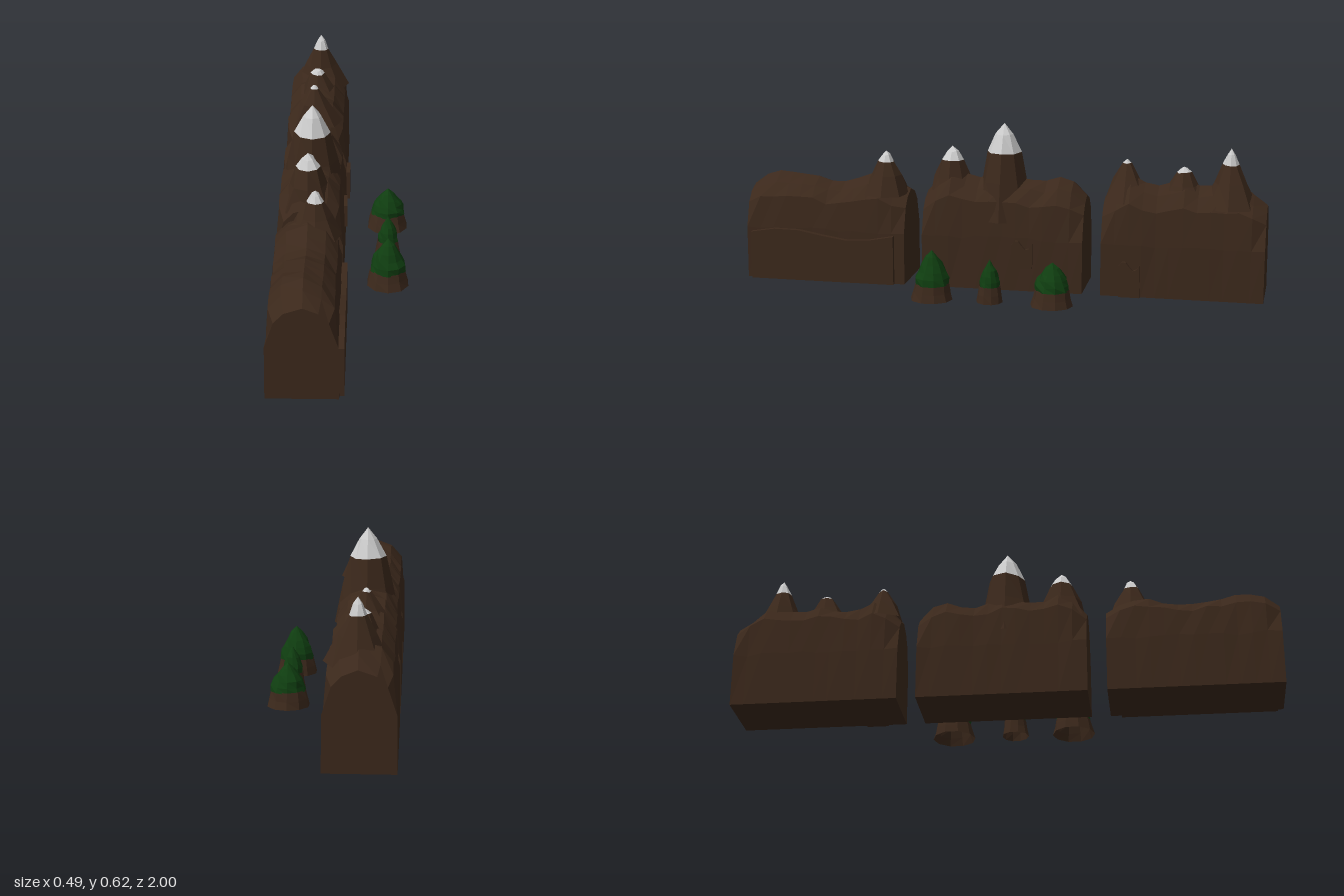
import * as THREE from 'three';

const { lerp, clamp } = THREE.MathUtils;
const material = (color) => new THREE.MeshStandardMaterial({ color, flatShading: true, side: THREE.DoubleSide });
const rock = material(0x3b281b);
const leaf = material(0x0f3d10);
const snow = material(0xcccccc);

// Repeatable value in -1..1 for a point, equal for coincident points
function noise(x, y, z) {
  const k = [x, y, z].map((v) => Math.round(v * 1000));
  const s = Math.sin(k[0] * 12.99 + k[1] * 78.23 + k[2] * 37.72) * 43758.55;
  return (s - Math.floor(s)) * 2 - 1;
}

function addMesh(parent, name, geometry, mat) {
  const mesh = new THREE.Mesh(geometry, mat);
  mesh.name = name;
  parent.add(mesh);
}

// Half of a ridge cross-section mirrored into a full ring, base to base
function ridgeRing(z, h, isEnd) {
  const w = isEnd ? 0.82 : 1;
  const rise = h - 0.2;
  const half = [[0.125, 0], [0.123, 0.2], [0.112 * w, 0.2 + rise * 0.62], [0.07 * w, 0.2 + rise * 0.86]];
  const side = (s) => half.map(([x, y], i) => {
    const j = i && !isEnd ? noise(s * x, y, z) * 0.008 : 0;
    return [-0.125 + s * (x - Math.abs(j) * 0.6), y + j, z];
  });
  return [...side(1), [-0.12, h, z], ...side(-1).reverse()];
}

// Closed rock wall from z = front to z = back; bumps raise the crest
function ridgeGeometry(front, back, crest, bumps) {
  const steps = 12;
  const rings = [];
  for (let i = 0; i <= steps; i++) {
    const z = lerp(front, back, i / steps);
    const edge = Math.min(i, steps - i);
    let h = lerp(0.35, crest, Math.min(1, edge / 1.5)) + (edge ? noise(1, crest, z) * 0.008 : 0);
    for (const b of bumps) h += b.rise * Math.max(0, 1 - Math.abs(z - b.z) / 0.1);
    rings.push(ridgeRing(z, h, edge === 0));
  }
  const n = rings[0].length;
  const out = [];
  const tri = (a, b, c) => out.push(...a, ...b, ...c);
  for (let i = 0; i < steps; i++) {
    for (let j = 0; j < n; j++) {
      const k = (j + 1) % n;
      tri(rings[i][j], rings[i + 1][j], rings[i + 1][k]);
      tri(rings[i][j], rings[i + 1][k], rings[i][k]);
    }
  }
  for (let j = 1; j < n - 1; j++) {
    tri(rings[0][0], rings[0][j], rings[0][j + 1]);
    tri(rings[steps][0], rings[steps][j + 1], rings[steps][j]);
  }
  const g = new THREE.BufferGeometry();
  g.setAttribute('position', new THREE.Float32BufferAttribute(out, 3));
  g.computeVertexNormals();
  return g;
}

// Faceted turned shape with slightly uneven vertices
function roughLathe(profile, sides, amount) {
  const g = new THREE.LatheGeometry(profile.map(([r, y]) => new THREE.Vector2(r, y)), sides);
  const p = g.attributes.position;
  for (let i = 0; i < p.count; i++) {
    const x = p.getX(i), y = p.getY(i), z = p.getZ(i);
    if (Math.hypot(x, z) < 0.001) continue;
    const j = noise(x, y, z) * amount;
    p.setXYZ(i, x * (1 + j), y + (y > 0.01 ? j * 0.04 : 0), z * (1 + j));
  }
  return g;
}

// Rock cone with a steeper snow cap, kept inside the ends of its ridge
function addPeak(parent, front, back, { x, z, baseR, baseY, snowR, snowY, top }) {
  const peak = new THREE.Group();
  peak.name = 'peak';
  const snowLine = [snowR, snowY];
  const slope = [[baseR, baseY], [lerp(baseR, snowR, 0.6), lerp(baseY, snowY, 0.57)], snowLine];
  const cap = [snowLine, [snowR * 0.52, lerp(snowY, top, 0.62)], [0, top]];
  for (const [name, profile, mat] of [['peakRock', slope, rock], ['snowCap', cap, snow]]) {
    const g = roughLathe(profile, 8, 0.07).translate(x, 0, z);
    const p = g.attributes.position;
    for (let i = 0; i < p.count; i++) p.setZ(i, clamp(p.getZ(i), back + 0.004, front - 0.004));
    addMesh(peak, name, g, mat);
  }
  parent.add(peak);
}

// Thin slab with a wavy top on the +x face
function addLedge(parent, { z0, z1, bottom, height, depth }) {
  const shape = new THREE.Shape().moveTo(-z0, bottom);
  for (let i = 0; i <= 6; i++) {
    shape.lineTo(-lerp(z0, z1, i / 6), height + Math.sin(i * 1.1) * 0.018);
  }
  shape.lineTo(-z1, bottom);
  const g = new THREE.ExtrudeGeometry(shape, { depth, bevelEnabled: false });
  g.rotateY(Math.PI / 2).translate(-0.006, 0, 0);
  addMesh(parent, 'rockLedge', g, rock);
}

function addSection(parent, name, front, back, crest, knolls, peaks, ledge) {
  const section = new THREE.Group();
  section.name = name;
  const bumps = [...knolls, ...peaks.map(({ z }) => ({ z, rise: 0.03 }))];
  addMesh(section, 'ridgeBody', ridgeGeometry(front, back, crest, bumps), rock);
  for (const peak of peaks) addPeak(section, front, back, peak);
  addLedge(section, ledge);
  parent.add(section);
}

// Open flared trunk under a domed crown
function addTree(parent, z, r, crownR, top) {
  const tree = new THREE.Group();
  tree.name = 'tree';
  addMesh(tree, 'trunk', roughLathe([[r, 0], [r * 0.9, 0.03], [r * 0.8, 0.062]], 10, 0.04), rock);
  const crown = [[0, 0.06]];
  for (let i = 0; i <= 5; i++) {
    const t = i / 5;
    crown.push([crownR * (1 - t ** 1.9), lerp(0.058, top, t)]);
  }
  addMesh(tree, 'foliage', roughLathe(crown, 10, 0.07), leaf);
  tree.position.set(0.165, 0, z);
  parent.add(tree);
}

export function createModel() {
  const model = new THREE.Group();
  model.name = 'mountainRange';

  addSection(model, 'frontRidge', 1, 0.37, 0.372,
    [{ z: 0.9, rise: 0.04 }, { z: 0.78, rise: 0.025 }, { z: 0.52, rise: 0.02 }],
    [{ x: -0.095, z: 0.46, baseR: 0.1, baseY: 0.34, snowR: 0.032, snowY: 0.465, top: 0.505 }],
    { z0: 0.98, z1: 0.41, bottom: 0, height: 0.185, depth: 0.023 });

  addSection(model, 'middleRidge', 0.3, -0.32, 0.41,
    [{ z: -0.25, rise: 0.025 }],
    [{ x: -0.12, z: 0, baseR: 0.125, baseY: 0.26, snowR: 0.066, snowY: 0.515, top: 0.625 },
      { x: -0.13, z: 0.205, baseR: 0.11, baseY: 0.32, snowR: 0.045, snowY: 0.475, top: 0.527 }],
    { z0: -0.05, z1: -0.13, bottom: 0.09, height: 0.18, depth: 0.014 });

  addSection(model, 'backRidge', -0.39, -1, 0.405,
    [{ z: -0.5, rise: 0.02 }],
    [{ x: -0.13, z: -0.47, baseR: 0.11, baseY: 0.35, snowR: 0.016, snowY: 0.487, top: 0.502 },
      { x: -0.125, z: -0.685, baseR: 0.1, baseY: 0.35, snowR: 0.028, snowY: 0.462, top: 0.482 },
      { x: -0.115, z: -0.86, baseR: 0.11, baseY: 0.34, snowR: 0.031, snowY: 0.5, top: 0.56 }],
    { z0: -0.46, z1: -0.54, bottom: 0, height: 0.12, depth: 0.018 });

  addTree(model, 0.22, 0.08, 0.066, 0.187);
  addTree(model, 0, 0.05, 0.039, 0.162);
  addTree(model, -0.235, 0.08, 0.066, 0.163);
  return model;
}
